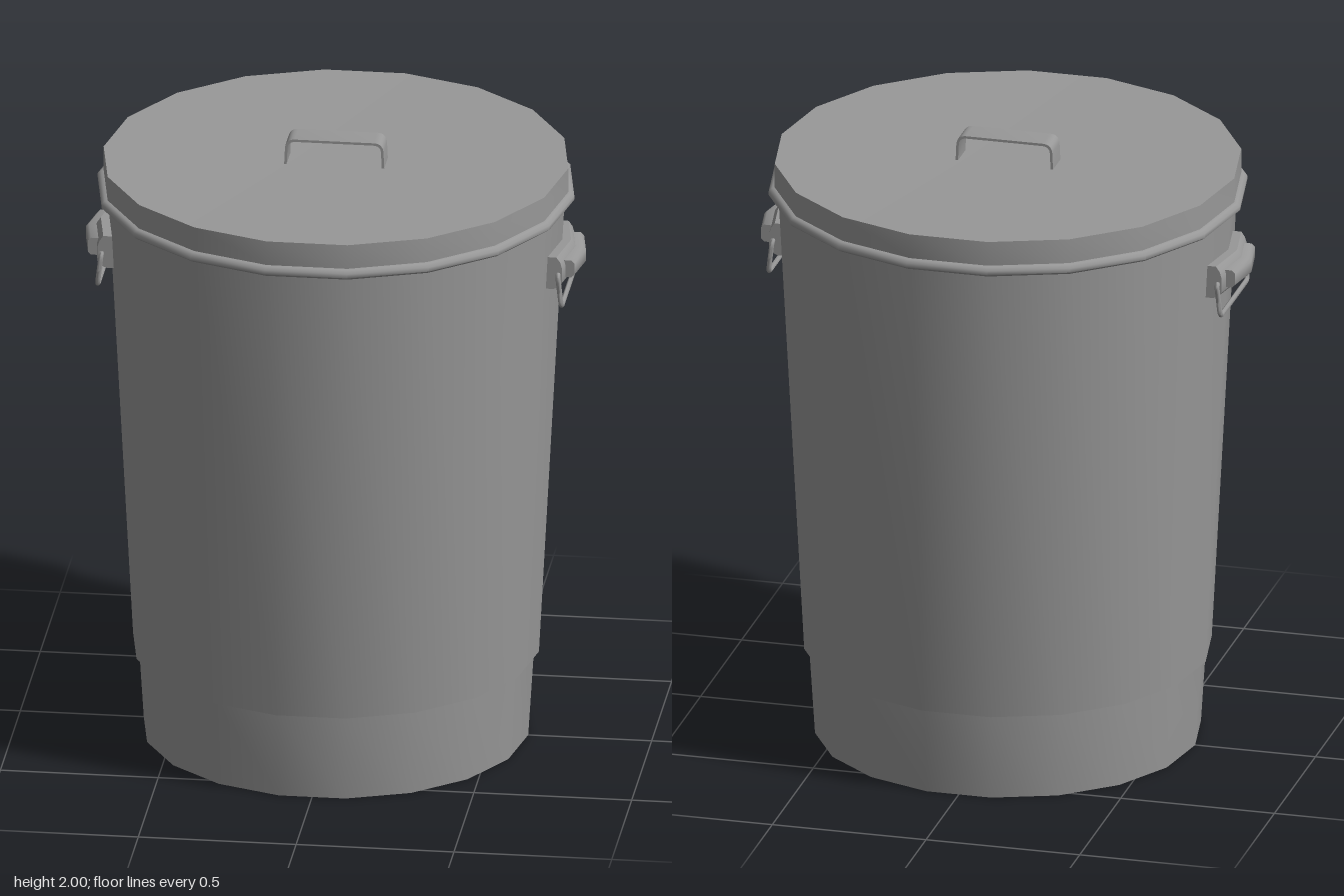
import * as THREE from 'three';
import { toCreasedNormals } from 'three/addons/utils/BufferGeometryUtils.js';

const SIDES = 18;
const SLOPE = Math.tan(Math.PI / SIDES); // how the wall falls away from a corner at x
const metal = new THREE.MeshStandardMaterial({ color: 0x989898 });

function addMesh(parent, name, geometry) {
  const mesh = new THREE.Mesh(toCreasedNormals(geometry, 0.9), metal);
  mesh.name = name;
  parent.add(mesh);
  return mesh;
}

// 18-sided turned shape with a corner on the x axis
function turned(profile) {
  const points = profile.map(([r, y]) => new THREE.Vector2(r, y));
  return new THREE.LatheGeometry(points, SIDES, Math.PI / 2);
}

// Profile in x and y, extruded along z and bent round the corner of the wall
function bentBar(profile, halfWidth) {
  const shape = new THREE.Shape(profile.map(([x, y]) => new THREE.Vector2(x, y)));
  const geo = new THREE.ExtrudeGeometry(shape, { depth: 2 * halfWidth, steps: 2, bevelEnabled: false });
  geo.translate(0, 0, -halfWidth);
  const pos = geo.attributes.position;
  for (let i = 0; i < pos.count; i++) {
    pos.setX(i, pos.getX(i) - Math.abs(pos.getZ(i)) * SLOPE);
  }
  return geo;
}

// Hanging wire loop in a slightly tilted plane
function wireLoop() {
  const w = 0.166, top = 1.63, bottom = 1.525, r = 0.018;
  const at = (z, y) => new THREE.Vector3(0.735 - 0.012 * (y - bottom) / (top - bottom), y, z);
  const corners = [[w, top], [w, bottom], [-w, bottom], [-w, top]];
  const path = new THREE.CurvePath();
  let last = at(0, top);
  corners.forEach(([z, y]) => {
    const sz = Math.sign(z), sy = y === top ? -1 : 1;
    const alongZ = at(z - sz * r, y), alongY = at(z, y + sy * r);
    const [a, b] = (sz > 0) === (y === top) ? [alongZ, alongY] : [alongY, alongZ];
    path.add(new THREE.LineCurve3(last, a));
    path.add(new THREE.QuadraticBezierCurve3(a, at(z, y), b));
    last = b;
  });
  path.add(new THREE.LineCurve3(last, at(0, top)));
  return new THREE.TubeGeometry(path, 96, 0.008, 8, true);
}

function sideHandle(name) {
  const group = new THREE.Group();
  group.name = name;
  addMesh(group, 'handlePlate', bentBar([
    [0.68, 1.58], [0.735, 1.58], [0.752, 1.587], [0.763, 1.602], [0.763, 1.65],
    [0.757, 1.67], [0.745, 1.687], [0.68, 1.687],
  ], 0.155));
  addMesh(group, 'handleGrip', bentBar([
    [0.72, 1.608], [0.782, 1.608], [0.792, 1.618], [0.792, 1.655], [0.782, 1.665], [0.72, 1.665],
  ], 0.12));
  addMesh(group, 'handleWire', wireLoop());
  return group;
}

// Thin bent strap standing on the lid
function lidStrap() {
  const s = new THREE.Shape();
  s.moveTo(-0.159, 1.908);
  s.lineTo(-0.156, 1.972);
  s.quadraticCurveTo(-0.153, 2, -0.125, 2);
  s.lineTo(0.125, 2);
  s.quadraticCurveTo(0.153, 2, 0.156, 1.972);
  s.lineTo(0.159, 1.908);
  s.lineTo(0.151, 1.908);
  s.lineTo(0.148, 1.971);
  s.quadraticCurveTo(0.146, 1.992, 0.123, 1.992);
  s.lineTo(-0.123, 1.992);
  s.quadraticCurveTo(-0.146, 1.992, -0.148, 1.971);
  s.lineTo(-0.151, 1.908);
  s.closePath();
  const geo = new THREE.ExtrudeGeometry(s, { depth: 0.09, bevelEnabled: false, curveSegments: 5 });
  return geo.translate(0, 0, -0.045);
}

export function createModel() {
  const model = new THREE.Group();
  model.name = 'dustbin';

  // Tapered bin with a stepped foot and an inner wall
  addMesh(model, 'binBody', turned([
    [0, 0], [0.609, 0], [0.627, 0.285], [0.643, 0.285], [0.726, 1.85],
    [0.7, 1.85], [0.6, 0.03], [0, 0.03],
  ]));

  // Slightly dished lid with a raised bead round its lower edge
  const lid = new THREE.Group();
  lid.name = 'lid';
  model.add(lid);
  addMesh(lid, 'lidCover', turned([
    [0, 1.9], [0.729, 1.9], [0.729, 1.815], [0.745, 1.815], [0.755, 1.823],
    [0.755, 1.837], [0.745, 1.846], [0.736, 1.848], [0.736, 1.928], [0, 1.913],
  ]));
  addMesh(lid, 'lidHandle', lidStrap());

  // Carrying handles on both sides
  model.add(sideHandle('leftHandle'));
  const right = sideHandle('rightHandle');
  right.rotation.y = Math.PI;
  model.add(right);

  return model;
}
